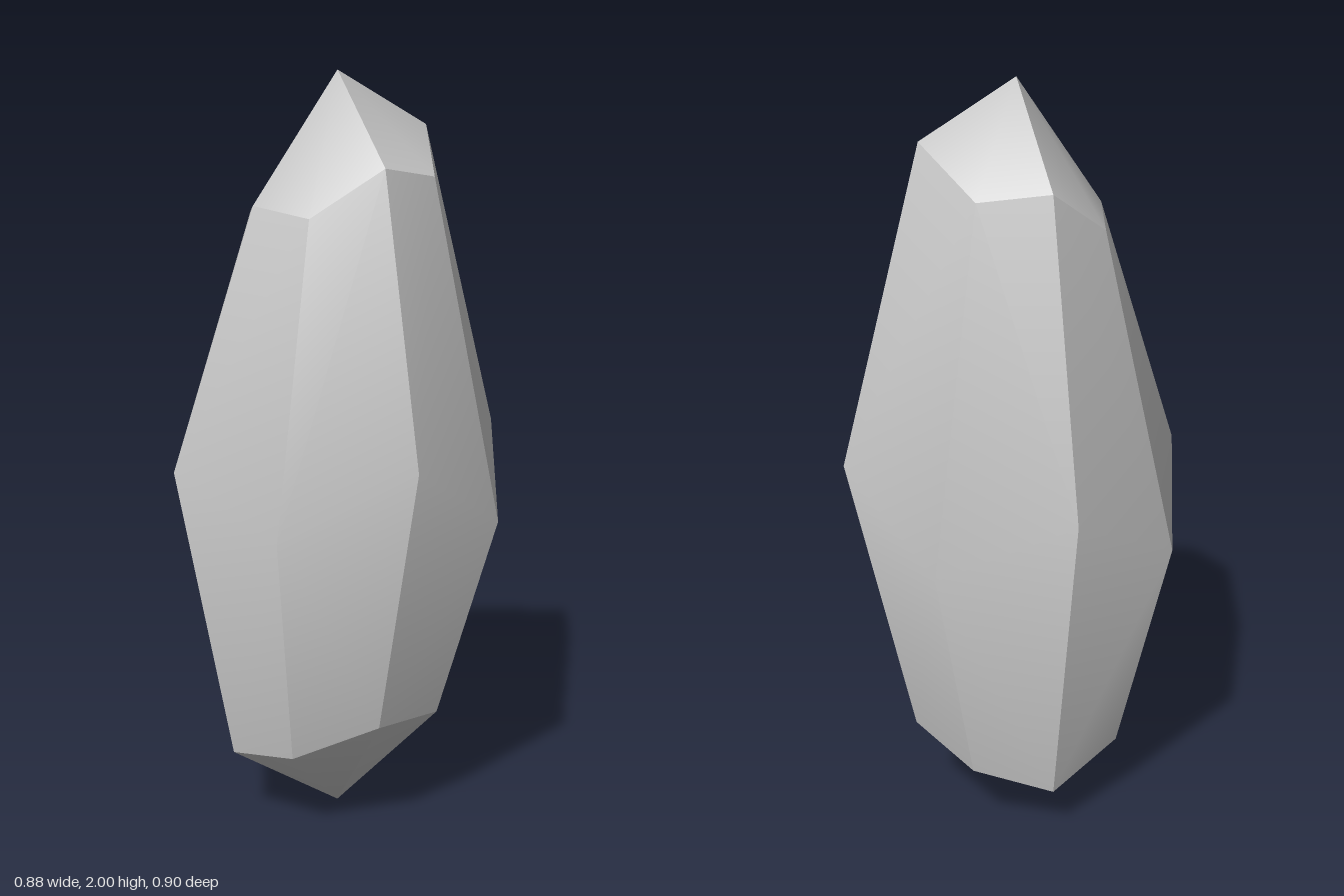
import * as THREE from 'three';

// Eight corners per ring as [x, y, z], starting at the front and turning towards +x
const topRing = [
  [0.01, 1.65, 0.24], [0.18, 1.77, 0.165], [0.255, 1.74, -0.01], [0.18, 1.86, -0.185],
  [0, 1.74, -0.25], [-0.17, 1.76, -0.18], [-0.24, 1.64, 0], [-0.165, 1.67, 0.17],
];
const middleRing = [
  [0, 0.88, 0.45], [0.315, 1.05, 0.305], [0.44, 0.855, -0.01], [0.335, 1.05, -0.34],
  [0.03, 0.83, -0.45], [-0.3, 0.98, -0.325], [-0.445, 0.81, -0.01], [-0.335, 1.0, 0.31],
];
const bottomRing = [
  [-0.02, 0.25, 0.3], [0.185, 0.325, 0.2], [0.285, 0.305, 0], [0.21, 0.255, -0.215],
  [0, 0.2, -0.3], [-0.2, 0.135, -0.22], [-0.3, 0.2, 0], [-0.22, 0.205, 0.22],
];
const SIDES = 8;

// Smooth surface from a few shared points
function surface(name, points, index, material) {
  const geometry = new THREE.BufferGeometry();
  geometry.setAttribute('position', new THREE.Float32BufferAttribute(points.flat(), 3));
  geometry.setIndex(index);
  geometry.computeVertexNormals();
  const mesh = new THREE.Mesh(geometry, material);
  mesh.name = name;
  return mesh;
}

// Two triangles for a bent quad (counter-clockwise from outside), split along its convex ridge
function quad(points, a, b, c, d) {
  const [pa, pb, pc, pd] = [a, b, c, d].map((i) => new THREE.Vector3(...points[i]));
  const normal = pb.clone().sub(pa).cross(pc.clone().sub(pa));
  return normal.dot(pd.sub(pa)) <= 0 ? [a, b, c, a, c, d] : [a, b, d, b, c, d];
}

export function createModel() {
  const crystal = new THREE.Group();
  crystal.name = 'crystal';
  const material = new THREE.MeshStandardMaterial({ color: 0xcccccc });

  // Long side facets, each bent at the waist, with sharp ridges between them
  for (let i = 0; i < SIDES; i++) {
    const j = (i + 1) % SIDES;
    const points = [bottomRing, middleRing, topRing].flatMap((ring) => [ring[i], ring[j]]);
    const index = [...quad(points, 0, 1, 3, 2), ...quad(points, 2, 3, 5, 4)];
    crystal.add(surface('sideFacet', points, index, material));
  }

  // Each pointed end is two half caps that meet along a diagonal crease
  const halfCap = (name, ring, tip, start, up) => {
    const points = [tip];
    const index = [];
    for (let k = 0; k <= 4; k++) {
      points.push(ring[(start + k) % SIDES]);
      if (k > 0) index.push(...(up ? [0, k, k + 1] : [0, k + 1, k]));
    }
    crystal.add(surface(name, points, index, material));
  };
  for (const start of [1, 5]) {
    halfCap('topPoint', topRing, [0, 2, 0], start, true);
    halfCap('bottomPoint', bottomRing, [0, 0, 0], start, false);
  }
  return crystal;
}
